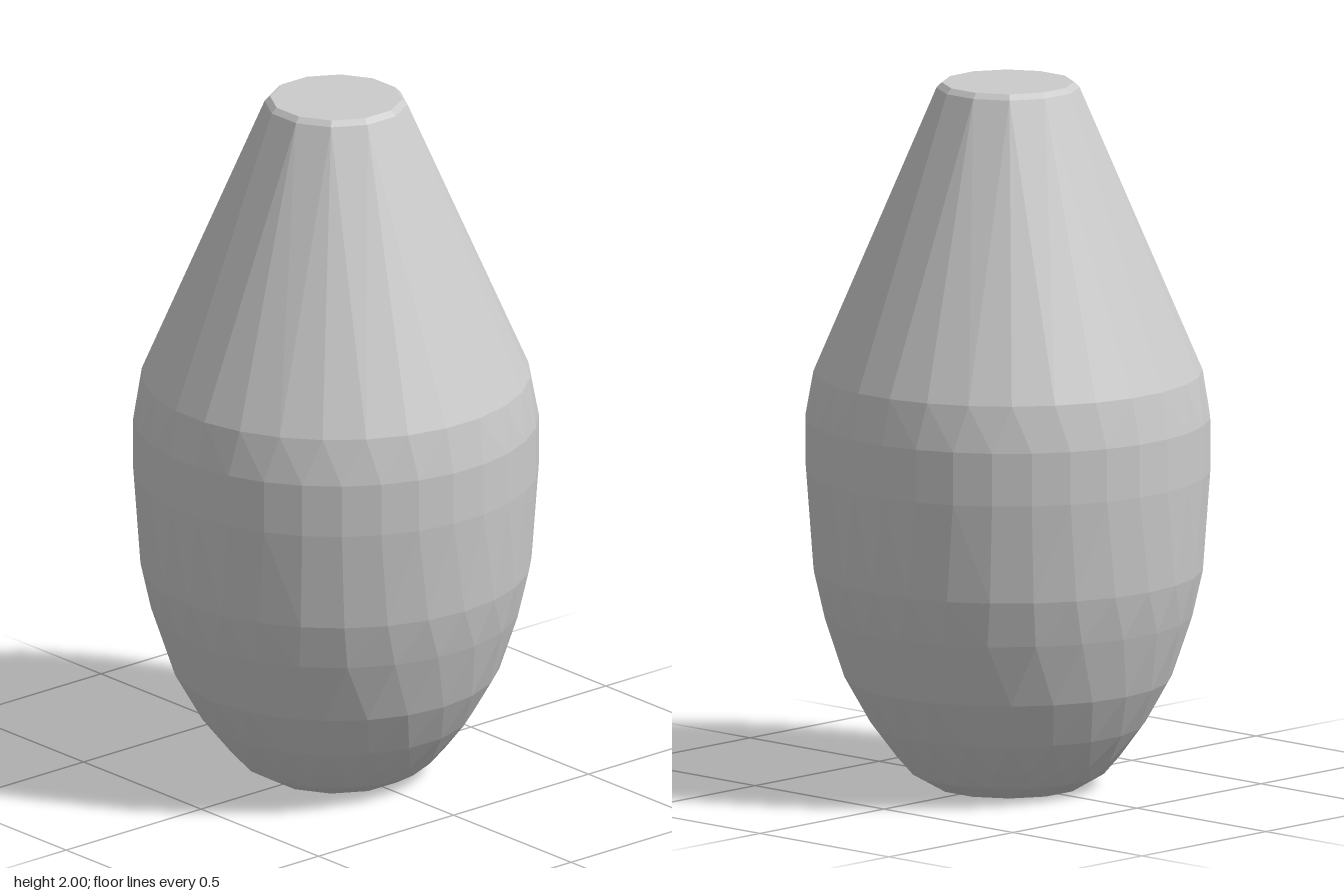
import * as THREE from 'three';
import { ConvexGeometry } from 'three/addons/geometries/ConvexGeometry.js';

// Rings from base to mouth: [radius, height, corners, turn in steps]
const RINGS = [
  [0.205, 0, 12, 0.5],
  [0.272, 0.04, 16, 0.5],
  [0.315, 0.09, 20, 0],
  [0.385, 0.18, 20, 0.5],
  [0.458, 0.31, 24, 0],
  [0.518, 0.49, 24, 0.5],
  [0.547, 0.62, 28, 0],
  [0.567, 0.9, 32, 0.5],
  [0.567, 1.05, 32, 0.5],
  [0.544, 1.18, 28, 0.5],
  [0.2, 1.985, 12, 0.5],
  [0.185, 2, 12, 0.5],
];

function ringPoints([radius, y, corners, turn]) {
  return Array.from({ length: corners }, (_, i) => {
    const a = ((i + turn) / corners) * Math.PI * 2;
    return new THREE.Vector3(radius * Math.cos(a), y, radius * Math.sin(a));
  });
}

export function createModel() {
  const group = new THREE.Group();
  group.name = 'facetedVase';

  // Solid body: rounded belly, straight tapering shoulder, flat base and top
  const body = new THREE.Mesh(
    new ConvexGeometry(RINGS.flatMap(ringPoints)),
    new THREE.MeshStandardMaterial({ color: 0xcccccc, flatShading: true })
  );
  body.name = 'vaseBody';
  group.add(body);
  return group;
}
